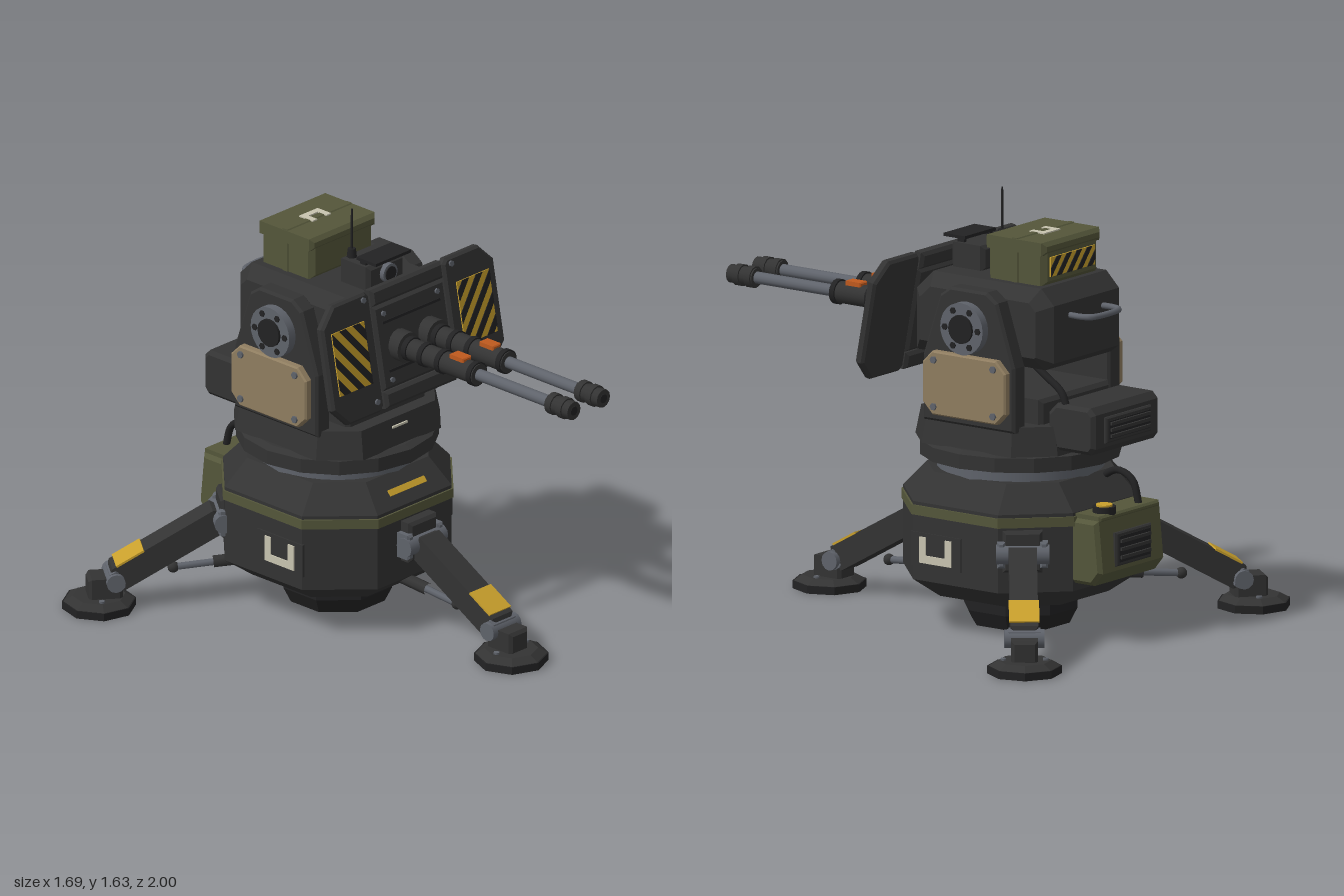
import * as THREE from 'three';

const paint = (name, color) => { const m = new THREE.MeshStandardMaterial({ color }); m.name = name; return m; };
const M = {
  dark: paint('charcoal', 0x333333), black: paint('black', 0x222223), steel: paint('steel', 0x5f636b),
  olive: paint('olive', 0x54563a), tan: paint('tan', 0x8f7d60), yellow: paint('yellow', 0xc9a02c),
  orange: paint('orange', 0xc05a1e), pale: paint('pale', 0xc8c4b0),
};
const CZ = -0.3; // axis of the base and turret

function add(parent, name, geo, mat, x = 0, y = 0, z = 0) {
  const m = new THREE.Mesh(geo, mat);
  m.name = name;
  m.position.set(x, y, z);
  parent.add(m);
  return m;
}
function group(parent, name, x = 0, y = 0, z = 0) {
  const g = new THREE.Group();
  g.name = name;
  g.position.set(x, y, z);
  parent.add(g);
  return g;
}
const flat = (geo) => { const g = geo.index ? geo.toNonIndexed() : geo; g.computeVertexNormals(); return g; };
// Bevelled plate from an outline, centred in depth
function plate(pts, depth, b = 0.01) {
  const shape = new THREE.Shape(pts.map(([x, y]) => new THREE.Vector2(x, y)));
  const g = new THREE.ExtrudeGeometry(shape, {
    depth: depth - 2 * b, bevelEnabled: b > 0, bevelThickness: b, bevelSize: b, bevelOffset: -b, bevelSegments: 1,
  });
  return g.translate(0, 0, b - depth / 2);
}
// Outline given as (z, y), extruded along x
const sidePlate = (pts, width, b) => plate(pts, width, b).rotateY(-Math.PI / 2);
const rect = (w, h, c = 0) => c
  ? [[-w / 2 + c, -h / 2], [w / 2 - c, -h / 2], [w / 2, -h / 2 + c], [w / 2, h / 2 - c],
    [w / 2 - c, h / 2], [-w / 2 + c, h / 2], [-w / 2, h / 2 - c], [-w / 2, -h / 2 + c]]
  : [[-w / 2, -h / 2], [w / 2, -h / 2], [w / 2, h / 2], [-w / 2, h / 2]];
const box = (w, h, d, b = 0.012) => plate(rect(w, h), d, b);
const slab = (w, h, d) => new THREE.BoxGeometry(w, h, d);
const cylY = (r1, r2, h, n = 16) => new THREE.CylinderGeometry(r1, r2, h, n);
const cylX = (r, h, n = 16) => cylY(r, r, h, n).rotateZ(Math.PI / 2);
const cylZ = (r, h, n = 16) => cylY(r, r, h, n).rotateX(Math.PI / 2);
const tube = (pts, r, seg = 16) =>
  new THREE.TubeGeometry(new THREE.CatmullRomCurve3(pts.map((p) => new THREE.Vector3(...p))), seg, r, 8);

// Stack of chamfered-square sections: [half width, half flat, y]
function loft(rings) {
  const R = rings.map(([h, f, y]) => [[f, h], [h, f], [h, -f], [f, -h], [-f, -h], [-h, -f], [-h, f], [-f, h]]
    .map(([x, z]) => [x, y, z]));
  const pos = [], last = R.length - 1;
  for (let i = 0; i < 8; i++) {
    const j = (i + 1) % 8;
    for (let k = 0; k < last; k++) {
      const a = R[k][i], b = R[k][j], c = R[k + 1][j], d = R[k + 1][i];
      pos.push(...a, ...b, ...c, ...a, ...c, ...d);
    }
    pos.push(0, rings[0][2], 0, ...R[0][j], ...R[0][i], 0, rings[last][2], 0, ...R[last][i], ...R[last][j]);
  }
  const g = new THREE.BufferGeometry();
  g.setAttribute('position', new THREE.Float32BufferAttribute(pos, 3));
  return flat(g);
}

// Warning panel: yellow plate with slanted dark stripes clipped to it
function hazard(parent, w, h, pitch, dir) {
  const g = group(parent, 'warningPanel');
  add(g, 'warningPlate', slab(w, h, 0.006), M.yellow);
  const k = 1.2, W = w / 2, H = h / 2, u = ([x, y]) => y - dir * k * x;
  const max = H + k * W;
  for (let a = -max + pitch * 0.3; a < max; a += pitch) {
    const b = a + pitch * 0.48;
    const pts = rect(w, h).filter((p) => u(p) > a && u(p) < b);
    for (const c of [a, b]) {
      for (const x of [-W, W]) { const y = c + dir * k * x; if (Math.abs(y) <= H) pts.push([x, y]); }
      for (const y of [-H, H]) { const x = (y - c) / (dir * k); if (Math.abs(x) < W) pts.push([x, y]); }
    }
    if (pts.length < 3) continue;
    const mx = pts.reduce((s, p) => s + p[0], 0) / pts.length, my = pts.reduce((s, p) => s + p[1], 0) / pts.length;
    pts.sort((p, q) => Math.atan2(p[1] - my, p[0] - mx) - Math.atan2(q[1] - my, q[0] - mx));
    add(g, 'warningStripe', plate(pts, 0.004, 0), M.black, 0, 0, 0.004);
  }
  return g;
}
// Open bracket mark facing +z
function bracketMark(parent, w, h, t) {
  const g = group(parent, 'bracketMark');
  for (const s of [1, -1]) add(g, 'markSide', slab(t, h, 0.006), M.pale, s * (w - t) / 2, 0, 0);
  add(g, 'markBar', slab(w, t, 0.006), M.pale, 0, -(h - t) / 2, 0);
  return g;
}
// Slatted vent facing -z
function vent(parent, w, h, x, y, z) {
  const g = group(parent, 'vent', x, y, z);
  add(g, 'ventFrame', box(w, h, 0.02, 0.006), M.dark);
  add(g, 'ventRecess', slab(w - 0.03, h - 0.03, 0.006), M.black, 0, 0, -0.01);
  for (let i = -1; i <= 1; i++) add(g, 'ventSlat', slab(w - 0.04, 0.012, 0.014), M.dark, 0, i * h * 0.24, -0.014);
}

function buildLeg(parent, angle) {
  const g = group(parent, 'leg', 0, 0, CZ);
  g.rotation.y = angle;
  add(g, 'hipHousing', box(0.15, 0.16, 0.1), M.dark, 0, 0.36, 0.4);
  add(g, 'hipAxle', cylX(0.038, 0.2, 12), M.steel, 0, 0.35, 0.44);
  for (const s of [1, -1]) add(g, 'hipBracket', box(0.03, 0.1, 0.1, 0.008), M.steel, s * 0.08, 0.35, 0.41);
  // Sloping beam with its painted band
  const arm = group(g, 'legArm', 0, 0.235, 0.6425);
  arm.rotation.x = 0.516;
  add(arm, 'legBeam', box(0.105, 0.1, 0.46), M.dark);
  add(arm, 'legBand', slab(0.114, 0.008, 0.12), M.yellow, 0, 0.052, 0.14);
  add(arm, 'legCollar', box(0.12, 0.075, 0.04, 0.008), M.steel, 0, 0, 0.225);
  // Ankle and foot
  add(g, 'ankleAxle', cylX(0.036, 0.15, 12), M.steel, 0, 0.12, 0.845);
  add(g, 'anklePost', box(0.1, 0.09, 0.13), M.dark, 0, 0.085, 0.88);
  add(g, 'footPad', flat(cylY(0.14, 0.14, 0.03, 8)), M.black, 0, 0.015, 0.9);
  add(g, 'footTop', flat(cylY(0.1, 0.135, 0.02, 8)), M.dark, 0, 0.04, 0.9);
  for (const s of [1, -1]) add(g, 'footBolt', cylY(0.012, 0.012, 0.015, 6), M.steel, s * 0.08, 0.05, 0.9);
  // Strut under the leg
  add(g, 'strutRod', tube([[0, 0.17, 0.3], [0, 0.145, 0.62]], 0.014, 1), M.steel);
  add(g, 'strutSleeve', tube([[0, 0.17, 0.3], [0, 0.158, 0.47]], 0.024, 1), M.dark);
  add(g, 'strutEnd', new THREE.SphereGeometry(0.022, 10, 8), M.dark, 0, 0.145, 0.62);
}

function buildBase(root) {
  const base = group(root, 'base');
  add(base, 'pedestal', flat(cylY(0.22, 0.22, 0.08, 8).rotateY(Math.PI / 8)), M.black, 0, 0.1, CZ);
  add(base, 'pedestalFoot', flat(cylY(0.22, 0.19, 0.06, 8).rotateY(Math.PI / 8)), M.black, 0, 0.03, CZ);
  add(base, 'baseHull', loft([[0.3, 0.15, 0.125], [0.4, 0.2, 0.2], [0.4, 0.2, 0.5], [0.31, 0.17, 0.6]]), M.dark, 0, 0, CZ);
  add(base, 'baseBand', loft([[0.407, 0.203, 0.45], [0.407, 0.203, 0.487]]), M.olive, 0, 0, CZ);
  const strip = add(base, 'frontStrip', slab(0.195, 0.025, 0.008), M.yellow, 0, 0.546, 0.06);
  strip.rotation.x = -0.733;
  for (const s of [1, -1]) {
    const panel = group(base, 'sidePanel', s * 0.4, 0.32, -0.21);
    panel.rotation.y = s * Math.PI / 2;
    add(panel, 'sidePanelPlate', slab(0.235, 0.13, 0.01), M.dark);
    const mark = bracketMark(panel, 0.15, 0.1, 0.03);
    mark.position.z = 0.007;
  }
  for (const a of [0, 2.24, -2.24]) buildLeg(base, a);
  // Rear power box
  const pack = group(base, 'powerBox', 0, 0, 0);
  add(pack, 'powerBoxBody', sidePlate([[-0.64, 0.23], [-0.79, 0.23], [-0.83, 0.28], [-0.81, 0.48], [-0.64, 0.48]], 0.4, 0.015), M.olive);
  add(pack, 'powerBoxLid', box(0.37, 0.025, 0.15, 0.008), M.olive, 0, 0.485, -0.74);
  vent(pack, 0.22, 0.13, 0, 0.36, -0.825);
  add(pack, 'fillerNeck', cylY(0.045, 0.045, 0.03), M.black, 0.1, 0.505, -0.77);
  add(pack, 'fillerCap', cylY(0.032, 0.032, 0.008), M.yellow, 0.1, 0.523, -0.77);
  add(pack, 'powerCable', tube([[-0.1, 0.57, -0.6], [-0.1, 0.61, -0.68], [-0.1, 0.58, -0.75], [-0.1, 0.49, -0.78]], 0.014), M.black);
}

function buildMount(root) {
  const mount = group(root, 'turretMount');
  add(mount, 'bearingRing', cylY(0.315, 0.315, 0.06, 32), M.steel, 0, 0.62, CZ);
  add(mount, 'turntable', flat(cylY(0.38, 0.38, 0.055, 16)), M.dark, 0, 0.675, CZ);
  add(mount, 'turntableTop', flat(cylY(0.35, 0.38, 0.012, 16)), M.dark, 0, 0.708, CZ);
  add(mount, 'turretDeck', loft([[0.335, 0.21, 0.71], [0.315, 0.2, 0.82]]), M.dark, 0, 0, CZ);
  add(mount, 'deckMark', slab(0.08, 0.008, 0.008), M.pale, 0, 0.787, 0.023);
  add(mount, 'centreBlock', box(0.43, 0.11, 0.52, 0.015), M.dark, 0, 0.86, CZ);
  for (const s of [1, -1]) {
    add(mount, 'yoke', sidePlate([[-0.52, 0.8], [-0.09, 0.8], [-0.09, 1.05], [-0.17, 1.29], [-0.22, 1.325], [-0.39, 1.325],
      [-0.44, 1.29], [-0.52, 1.05]].reverse(), 0.075), M.dark, s * 0.293, 0, 0);
    const armour = add(mount, 'sideArmour', sidePlate(rect(0.39, 0.245, 0.045), 0.035, 0.006), M.tan, s * 0.347, 0.955, -0.31);
    for (const [z, y] of rect(0.28, 0.18)) add(armour, 'armourBolt', cylX(0.014, 0.012, 6), M.steel, s * 0.02, y, z);
    // Pivot hub with a ring of bolts
    const hub = group(mount, 'pivotHub', s * 0.34, 1.18, CZ);
    add(hub, 'hubDisc', cylX(0.1, 0.05, 24), M.steel);
    add(hub, 'hubCore', cylX(0.055, 0.07, 16), M.black);
    for (let i = 0; i < 6; i++) {
      const a = i * Math.PI / 3;
      add(hub, 'hubBolt', cylX(0.013, 0.06, 6), M.black, 0, 0.077 * Math.sin(a), 0.077 * Math.cos(a));
    }
  }
  // Rear equipment box with vent and cable
  add(mount, 'rearBox', sidePlate([[-0.58, 0.73], [-0.78, 0.73], [-0.8, 0.755], [-0.8, 0.885], [-0.775, 0.91], [-0.62, 0.91], [-0.58, 0.87]], 0.41, 0.015), M.dark);
  vent(mount, 0.28, 0.1, 0, 0.82, -0.802);
  add(mount, 'rearCable', tube([[0.18, 1.04, -0.5], [0.18, 1.0, -0.56], [0.18, 0.95, -0.63], [0.18, 0.88, -0.66]], 0.014), M.black);
}

function buildHead(root) {
  const head = group(root, 'turretHead');
  add(head, 'headHull', sidePlate([[0.035, 1.03], [0.035, 1.265], [-0.045, 1.34], [-0.55, 1.34], [-0.61, 1.28], [-0.61, 1.06],
    [-0.57, 1.03]], 0.5, 0.05), M.dark);
  add(head, 'rearHandle', tube([[-0.1, 1.23, -0.59], [-0.1, 1.23, -0.67], [-0.08, 1.23, -0.7], [0.08, 1.23, -0.7],
    [0.1, 1.23, -0.67], [0.1, 1.23, -0.59]], 0.012, 24), M.steel);
  // Ammunition box
  const ammo = group(head, 'ammoBox', 0, 1.42, -0.405);
  add(ammo, 'ammoBody', box(0.34, 0.17, 0.27, 0.02), M.olive, 0, 0, 0);
  add(ammo, 'ammoLid', box(0.355, 0.05, 0.285, 0.015), M.olive, 0, 0.062, 0);
  add(ammo, 'ammoStrap', box(0.35, 0.176, 0.035, 0.006), M.olive, 0, 0.003, 0);
  const topMark = bracketMark(ammo, 0.1, 0.07, 0.025);
  topMark.position.set(0, 0.089, -0.01);
  topMark.rotation.set(Math.PI / 2, Math.PI, 0);
  const stripes = hazard(ammo, 0.27, 0.075, 0.075, 1);
  stripes.position.set(0, -0.01, -0.138);
  stripes.rotation.y = Math.PI;
  // Sight and antenna
  add(head, 'sightBody', box(0.2, 0.1, 0.155, 0.015), M.dark, 0, 1.385, -0.122);
  add(head, 'sightHood', slab(0.19, 0.012, 0.1), M.black, 0, 1.455, -0.06);
  for (const s of [1, -1]) add(head, 'hoodPost', slab(0.015, 0.03, 0.03), M.black, s * 0.08, 1.44, -0.085);
  add(head, 'sightRing', cylZ(0.038, 0.03, 20), M.steel, 0, 1.39, -0.04);
  add(head, 'sightLens', cylZ(0.028, 0.034, 20), M.black, 0, 1.39, -0.038);
  add(head, 'antennaBase', cylY(0.015, 0.02, 0.04, 8), M.black, -0.063, 1.45, -0.165);
  add(head, 'antenna', cylY(0.004, 0.005, 0.18, 6), M.black, -0.063, 1.54, -0.165);
  // Tilted gun shield
  const shield = group(head, 'gunShield', 0, 1.17, 0.078);
  shield.rotation.x = -0.185;
  add(shield, 'shieldCentre', box(0.385, 0.33, 0.04), M.dark);
  for (const s of [1, -1]) {
    add(shield, 'shieldRail', box(0.385, 0.066, 0.05), M.dark, 0, s * 0.2, 0);
    add(shield, 'shieldSlot', slab(0.31, 0.01, 0.006), M.black, 0, s * 0.095, 0.021);
    const wing = group(shield, 'shieldWing', s * 0.333, 0, 0);
    const outline = [[-0.115, -0.235], [0.06, -0.235], [0.133, -0.16], [0.133, 0.16], [0.06, 0.235], [-0.115, 0.235], [-0.133, 0.215], [-0.133, -0.215]];
    add(wing, 'wingPlate', plate(s > 0 ? outline : outline.map(([x, y]) => [-x, y]), 0.04), M.dark);
    const panel = hazard(wing, 0.175, 0.245, 0.088, s);
    panel.position.set(s * 0.005, 0.01, 0.022);
    for (const y of [-0.19, 0.21]) add(wing, 'wingBolt', cylZ(0.012, 0.012, 6), M.steel, -s * 0.095, y, 0.022);
    for (const y of [-0.13, 0.13]) add(shield, 'centreBolt', cylZ(0.011, 0.012, 6), M.steel, s * 0.145, y, 0.022);
  }
  // Twin guns
  for (const s of [1, -1]) {
    const gun = group(head, 'gun', s * 0.08, 1.163, 0);
    add(gun, 'gunCollar', cylZ(0.06, 0.06, 16), M.dark, 0, 0, 0.115);
    add(gun, 'barrelJacket', cylZ(0.042, 0.4, 16), M.dark, 0, 0, 0.31);
    for (const z of [0.16, 0.24, 0.33, 0.495]) add(gun, 'jacketRing', cylZ(0.048, 0.022, 16), M.black, 0, 0, z);
    add(gun, 'heatMarker', box(0.045, 0.02, 0.075, 0.004), M.orange, 0, 0.042, 0.413);
    add(gun, 'barrel', cylZ(0.023, 0.42, 14), M.steel, 0, 0, 0.7);
    add(gun, 'muzzle', cylZ(0.036, 0.12, 12), M.dark, 0, 0, 0.94);
    for (const z of [0.9, 0.955]) add(gun, 'muzzleRing', cylZ(0.042, 0.028, 12), M.dark, 0, 0, z);
    add(gun, 'bore', cylZ(0.018, 0.004, 12), M.black, 0, 0, 1.0);
  }
}

export function createModel() {
  const root = new THREE.Group();
  root.name = 'sentryTurret';
  buildBase(root);
  buildMount(root);
  buildHead(root);
  return root;
}
